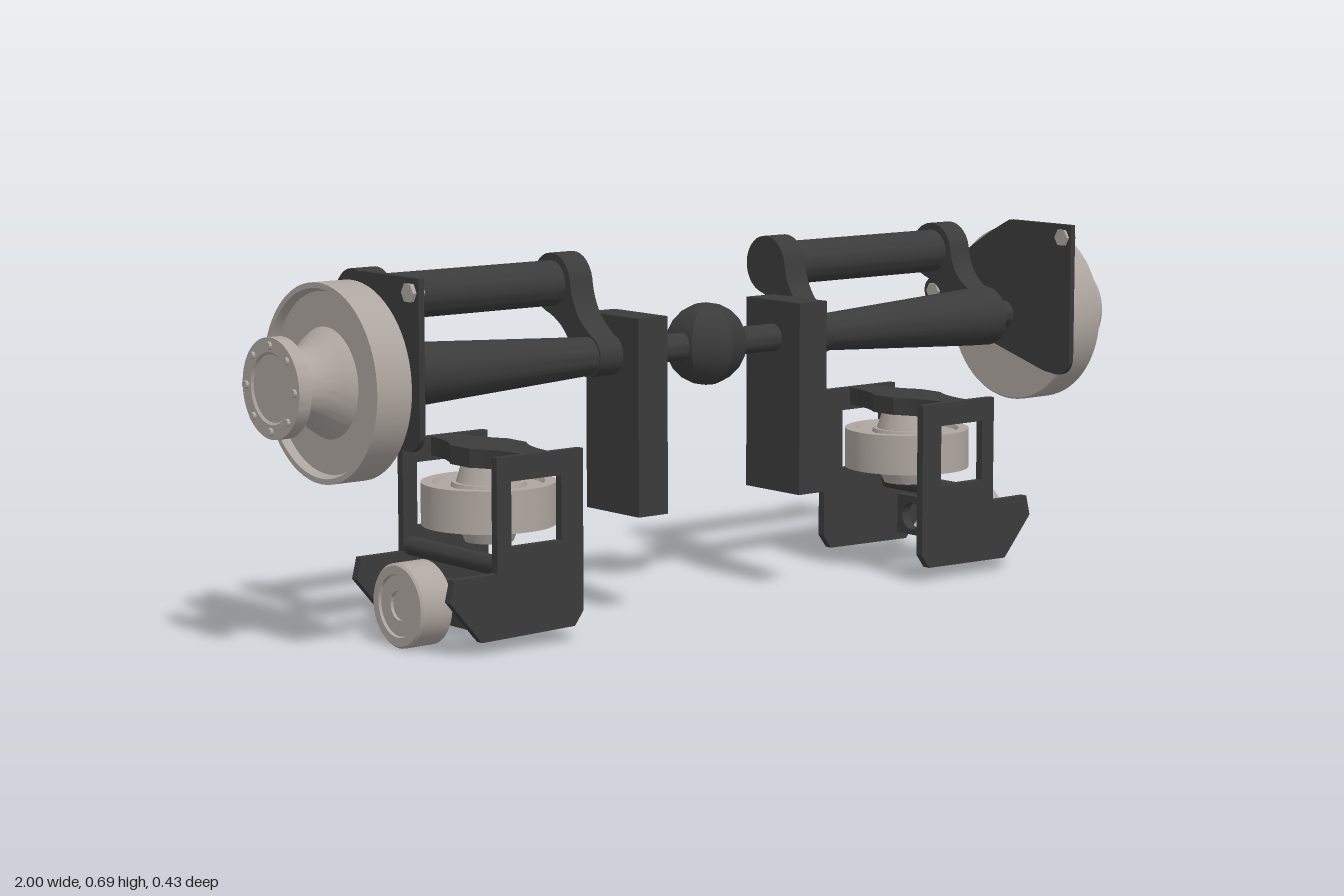
import * as THREE from 'three';
import { toCreasedNormals } from 'three/addons/utils/BufferGeometryUtils.js';

const darkIron = new THREE.MeshStandardMaterial({ color: 0x3b3b3b });
darkIron.name = 'dark iron';
const bareSteel = new THREE.MeshStandardMaterial({ color: 0xaea6a0 });
bareSteel.name = 'bare steel';

const AZ = 0.026, AY = 0.497; // axle centre line

// Mirrors a geometry in x and restores its winding
function mirrorX(geo) {
  geo.scale(-1, 1, 1);
  for (const attr of Object.values(geo.attributes)) {
    const n = attr.itemSize, a = attr.array;
    for (let i = 0; i < attr.count; i += 3) {
      for (let k = 0; k < n; k++) {
        const p = (i + 1) * n + k, q = (i + 2) * n + k;
        [a[p], a[q]] = [a[q], a[p]];
      }
    }
  }
  return geo;
}

// Turned part along x: profile of [radius, x]
function turnX(profile, y, z, sides = 48) {
  const pts = profile.map(([r, x]) => new THREE.Vector2(r, x));
  return new THREE.LatheGeometry(pts, sides).rotateZ(-Math.PI / 2).translate(0, y, z);
}
const rodX = (r, x0, x1, y, z, sides = 24) => turnX([[0, x0], [r, x0], [r, x1], [0, x1]], y, z, sides);

// Plate across x; its shape is drawn in (-z, y)
function plateX(shape, x0, x1) {
  return new THREE.ExtrudeGeometry(shape, { depth: x1 - x0, bevelEnabled: false, curveSegments: 10 })
    .rotateY(Math.PI / 2).translate(x0, 0, 0);
}
function box(x0, x1, y0, y1, z0, z1) {
  return new THREE.BoxGeometry(x1 - x0, y1 - y0, z1 - z0)
    .translate((x0 + x1) / 2, (y0 + y1) / 2, (z0 + z1) / 2);
}
const shapeOf = (pts) => new THREE.Shape(pts.map(([x, y]) => new THREE.Vector2(x, y)));
function circleHole(shape, x, y, r) {
  shape.holes.push(new THREE.Path().absarc(x, y, r, 0, Math.PI * 2, true));
}

// Waisted link between the upper tube and the axle
function linkArm(x0, x1, rTop, rBottom) {
  const top = new THREE.Vector2(0.083, 0.626), bottom = new THREE.Vector2(-AZ, AY);
  const L = top.distanceTo(bottom), t = Math.PI / 3;
  const s = new THREE.Shape();
  s.absarc(0, 0, rTop, t, 2 * Math.PI - t, false);
  s.quadraticCurveTo(L / 2, -0.012, L - rBottom / 2, -rBottom * 0.866);
  s.absarc(L, 0, rBottom, -2 * t, 2 * t, false);
  s.quadraticCurveTo(L / 2, 0.012, rTop / 2, rTop * 0.866);
  const dir = bottom.clone().sub(top).normalize();
  const pts = s.getPoints(10).map((p) => new THREE.Vector2(
    top.x + p.x * dir.x - p.y * dir.y, top.y + p.x * dir.y + p.y * dir.x));
  return plateX(new THREE.Shape(pts), x0, x1);
}

function buildSide(side) {
  const group = new THREE.Group();
  group.name = side > 0 ? 'leftSide' : 'rightSide';
  function add(name, geo, mat, crease = 0.6) {
    let g = toCreasedNormals(geo, crease);
    if (side < 0) g = mirrorX(g);
    const mesh = new THREE.Mesh(g, mat);
    mesh.name = name;
    group.add(mesh);
  }

  // Brake drum with a dished face, hub neck and flange
  add('drumAndHub', turnX([
    [0, 0.818], [0.176, 0.818], [0.179, 0.821], [0.179, 0.893], [0.169, 0.893], [0.163, 0.878],
    [0.1, 0.878], [0.088, 0.897], [0.072, 0.915], [0.063, 0.94], [0.06, 0.968],
    [0.09, 0.968], [0.09, 0.994], [0.064, 0.994], [0.06, 0.99], [0, 0.99],
  ], AY, AZ, 64), bareSteel);
  for (let i = 0; i < 8; i++) {
    const a = i * Math.PI / 4;
    add('flangeBolt', rodX(0.007, 0.985, 1, AY + 0.076 * Math.cos(a), AZ + 0.076 * Math.sin(a), 10), bareSteel);
  }

  // Backing plate with two hexagon bolts
  const back = new THREE.Shape();
  back.moveTo(-0.213, 0.692);
  back.lineTo(-0.213, 0.42);
  back.quadraticCurveTo(-0.21, 0.39, -0.18, 0.385);
  back.lineTo(-0.14, 0.39);
  back.lineTo(0.15, 0.477);
  back.lineTo(0.192, 0.4985);
  back.absarc(0.184, 0.527, 0.029, -1.2, 0.9, false);
  back.lineTo(0.13, 0.595);
  back.lineTo(0.02, 0.663);
  back.lineTo(-0.037, 0.692);
  add('backingPlate', plateX(back, 0.798, 0.81), darkIron);
  for (const [y, z] of [[0.666, 0.19], [0.527, -0.184]]) {
    add('plateBolt', rodX(0.018, 0.792, 0.818, y, z, 6), bareSteel, 0.3);
  }

  // Half axle, tapered housing, upper tube and linking arms
  add('axleShaft', rodX(0.027, 0, 0.82, AY, AZ), darkIron);
  add('axleHousing', turnX([[0, 0.27], [0.035, 0.27], [0.058, 0.69], [0.06, 0.745], [0, 0.745]], AY, AZ, 32), darkIron);
  add('upperTube', rodX(0.043, 0.25, 0.735, 0.626, -0.083, 32), darkIron);
  add('outerArm', linkArm(0.692, 0.745, 0.057, 0.055), darkIron);
  add('innerArm', linkArm(0.24, 0.294, 0.057, 0.04), darkIron);
  add('frameBlock', box(0.165, 0.235, 0.195, 0.57, -0.053, 0.105), darkIron);

  // Front and back carrier plates with a square window
  const carrier = shapeOf([
    [0.425, 0.355], [0.425, 0.055], [0.445, 0.028], [0.655, 0.024], [0.665, 0.035],
    [0.725, 0.105], [0.715, 0.145], [0.62, 0.145], [0.62, 0.355],
  ]);
  carrier.holes.push(new THREE.Path([
    [0.475, 0.19], [0.475, 0.31], [0.588, 0.31], [0.588, 0.19],
  ].map(([x, y]) => new THREE.Vector2(x, y))));
  for (const z of [0.163, -0.128]) {
    add('carrierPlate', new THREE.ExtrudeGeometry(carrier, { depth: 0.016, bevelEnabled: false }).translate(0, 0, z), darkIron);
  }

  // Top bridge, widest above the guide wheel
  const bridge = new THREE.Shape();
  bridge.moveTo(-0.03, -0.142);
  bridge.lineTo(0.03, -0.142);
  bridge.quadraticCurveTo(0.035, -0.07, 0.065, -0.03);
  bridge.lineTo(0.065, 0.03);
  bridge.quadraticCurveTo(0.035, 0.07, 0.03, 0.142);
  bridge.lineTo(-0.03, 0.142);
  bridge.quadraticCurveTo(-0.035, 0.07, -0.065, 0.03);
  bridge.lineTo(-0.065, -0.03);
  bridge.quadraticCurveTo(-0.035, -0.07, -0.03, -0.142);
  add('topBridge', new THREE.ExtrudeGeometry(bridge, { depth: 0.035, bevelEnabled: false })
    .rotateX(-Math.PI / 2).translate(0.525, 0.32, AZ), darkIron);

  // Horizontal guide wheel with recessed faces and conical hubs
  const wheel = [
    [0, 0.175], [0.045, 0.175], [0.058, 0.207], [0.068, 0.207], [0.07, 0.215], [0.1, 0.215], [0.104, 0.207],
    [0.125, 0.207], [0.125, 0.286], [0.104, 0.286], [0.1, 0.278], [0.07, 0.278], [0.068, 0.286],
    [0.06, 0.286], [0.05, 0.32], [0, 0.32],
  ].map(([r, y]) => new THREE.Vector2(r, y));
  add('guideWheel', new THREE.LatheGeometry(wheel, 48).translate(0.525, 0, AZ), bareSteel);

  // Cross rod, pierced cross plate and side roller
  add('crossRod', new THREE.CylinderGeometry(0.018, 0.018, 0.28, 20)
    .rotateX(Math.PI / 2).translate(0.602, 0.155, AZ), darkIron);
  const cross = shapeOf([[-0.164, 0.04], [0.113, 0.04], [0.113, 0.121], [-0.164, 0.121]]);
  circleHole(cross, -0.121, 0.079, 0.028);
  circleHole(cross, 0.07, 0.079, 0.028);
  add('crossPlate', plateX(cross, 0.63, 0.652), darkIron);
  add('sideRoller', turnX([
    [0, 0.645], [0.03, 0.645], [0.03, 0.663], [0.074, 0.663], [0.078, 0.667], [0.078, 0.729], [0.074, 0.733],
    [0.058, 0.733], [0.056, 0.728], [0.027, 0.728], [0.027, 0.722], [0, 0.722],
  ], 0.078, AZ), bareSteel);
  return group;
}

export function createModel() {
  const model = new THREE.Group();
  model.name = 'wheelAxleAssembly';
  model.add(buildSide(1), buildSide(-1));

  // Faceted centre ball
  const ball = new THREE.Mesh(
    toCreasedNormals(new THREE.SphereGeometry(0.08, 6, 10).rotateY(Math.PI / 2).translate(0, AY, 0.02), 0.7), darkIron);
  ball.name = 'centreBall';
  model.add(ball);
  return model;
}
